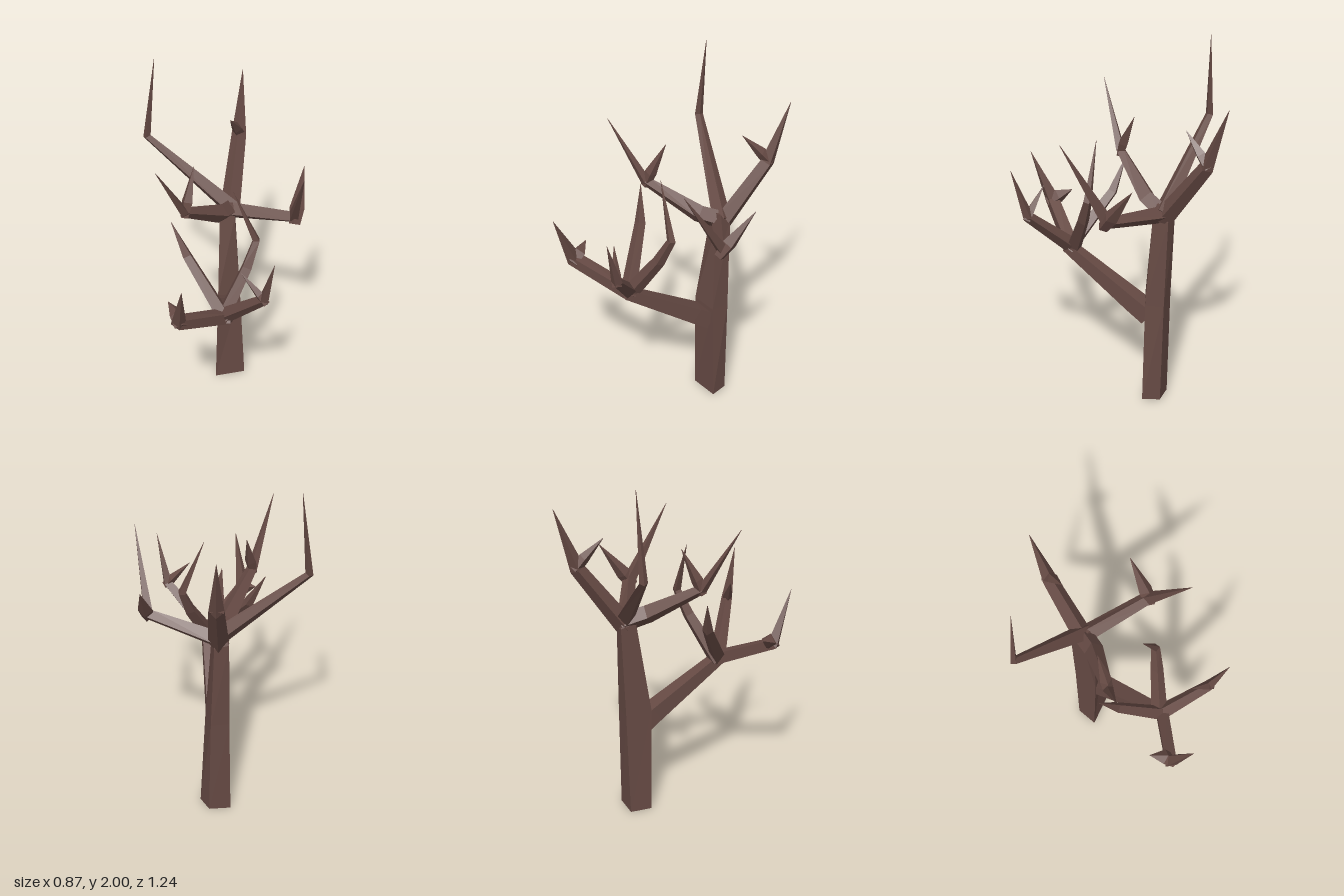
import * as THREE from 'three';

const V = (x, y, z) => new THREE.Vector3(x, y, z);

// Skin a list of four-cornered rings into a faceted, capped surface
function skin(rings) {
  const pos = [];
  const tri = (a, b, c) => [a, b, c].forEach((p) => pos.push(p.x, p.y, p.z));
  const n = rings[0].length;
  for (let i = 0; i < rings.length - 1; i++) {
    for (let j = 0; j < n; j++) {
      const k = (j + 1) % n;
      const [a, b, c, d] = [rings[i][j], rings[i][k], rings[i + 1][k], rings[i + 1][j]];
      tri(a, b, c);
      tri(a, c, d);
    }
  }
  const first = rings[0], last = rings[rings.length - 1];
  for (let j = 1; j < n - 1; j++) {
    tri(first[0], first[j + 1], first[j]);
    tri(last[0], last[j], last[j + 1]);
  }
  const g = new THREE.BufferGeometry();
  g.setAttribute('position', new THREE.Float32BufferAttribute(pos, 3));
  g.computeVertexNormals();
  return g;
}

// Tapering four-sided limb along [x, y, z, radius] points; turn rotates its corners
function limbGeometry(points, turn) {
  const p = points.map(([x, y, z]) => V(x, y, z));
  let side = null;
  const rings = p.map((c, i) => {
    const dir = V(0, 0, 0);
    if (i > 0) dir.add(p[i].clone().sub(p[i - 1]).normalize());
    if (i < p.length - 1) dir.add(p[i + 1].clone().sub(p[i]).normalize());
    dir.normalize();
    if (!side) side = dir.clone().cross(V(0, 1, 0));
    side.addScaledVector(dir, -side.dot(dir)).normalize();
    const up = dir.clone().cross(side);
    return [0, 1, 2, 3].map((j) => {
      const a = turn + (j * Math.PI) / 2;
      return c.clone()
        .addScaledVector(side, Math.cos(a) * points[i][3])
        .addScaledVector(up, Math.sin(a) * points[i][3]);
    });
  });
  return skin(rings);
}

export function createModel() {
  const tree = new THREE.Group();
  tree.name = 'bareTree';
  const bark = new THREE.MeshStandardMaterial({ color: 0x664a44, flatShading: true });
  bark.name = 'bark';

  const add = (name, geometry) => {
    const m = new THREE.Mesh(geometry, bark);
    m.name = name;
    tree.add(m);
  };
  const limb = (name, points, turn = 0) => add(name, limbGeometry(points, turn));
  const flat = Math.PI / 4;

  // Trunk: skewed four-sided post, narrowing to the crown
  add('trunk', skin([
    [V(-0.035, 0, -0.15), V(0.13, 0.01, -0.19), V(0.09, 0.01, -0.28), V(-0.03, 0, -0.27)],
    [V(-0.02, 0.62, -0.14), V(0.1, 0.6, -0.19), V(0.08, 0.6, -0.29), V(-0.02, 0.6, -0.285)],
    [V(-0.015, 1.14, -0.22), V(0.067, 1.12, -0.215), V(0.062, 1.1, -0.3), V(-0.015, 1.12, -0.305)],
    [V(0.01, 1.19, -0.23), V(0.055, 1.19, -0.23), V(0.05, 1.18, -0.28), V(0.01, 1.18, -0.28)],
  ]));

  // Crown: four boughs from the top of the trunk
  limb('tallBough', [[0.05, 1.14, -0.26, 0.052], [-0.41, 1.54, -0.33, 0.022], [-0.36, 2, -0.345, 0.001]]);
  limb('leftBough', [[0.03, 1.13, -0.26, 0.05], [0.385, 1.21, -0.105, 0.037], [0.43, 1.61, 0.135, 0.001]]);
  limb('leftTwig', [[0.39, 1.18, -0.08, 0.03], [0.4, 1.25, -0.13, 0.04], [0.43, 1.43, -0.26, 0.001]]);
  limb('backBough', [[0.035, 1.11, -0.26, 0.055], [0.07, 1.46, -0.505, 0.04], [0.082, 1.795, -0.62, 0.001]]);
  limb('backTwig', [[0.07, 1.46, -0.52, 0.035], [0.06, 1.52, -0.47, 0.03], [0.03, 1.625, -0.375, 0.001]]);
  limb('rightBough', [[0.04, 1.13, -0.28, 0.055], [-0.01, 1.18, -0.15, 0.052],
    [-0.18, 1.35, 0.085, 0.028], [-0.305, 1.695, 0.24, 0.001]]);
  limb('rightTwig', [[-0.18, 1.32, 0.085, 0.025], [-0.165, 1.4, 0.06, 0.032], [-0.135, 1.57, -0.015, 0.001]]);

  // Low limb reaching forward from the trunk
  limb('lowLimb', [[0.035, 0.51, -0.19, 0.07], [0.04, 0.57, -0.1, 0.066], [0.045, 0.83, 0.3, 0.04]], flat);

  // Four branches fanning out of the low limb
  limb('frontRightBranch', [[0.05, 0.82, 0.27, 0.045], [-0.18, 0.965, 0.505, 0.042], [-0.15, 1.25, 0.617, 0.001]], flat);
  limb('frontRightTwig', [[-0.165, 0.95, 0.52, 0.035], [-0.19, 0.99, 0.47, 0.04], [-0.24, 1.02, 0.41, 0.001]]);
  limb('frontLeftBranch', [[0.03, 0.82, 0.27, 0.045], [0.25, 1.07, 0.425, 0.03], [0.3, 1.345, 0.492, 0.001]]);
  limb('frontLeftTwig', [[0.26, 1.05, 0.43, 0.025], [0.225, 1.1, 0.42, 0.025], [0.13, 1.21, 0.39, 0.001]]);
  limb('backRightBranch', [[0.05, 0.81, 0.29, 0.045], [-0.165, 1.1, 0.125, 0.03], [-0.25, 1.285, 0.083, 0.001]]);
  limb('backLeftBranch', [[0.03, 0.81, 0.27, 0.045], [0.15, 1.06, 0.15, 0.034],
    [0.195, 1.2, 0.1, 0.024], [0.075, 1.5, 0.105, 0.001]]);

  return tree;
}
